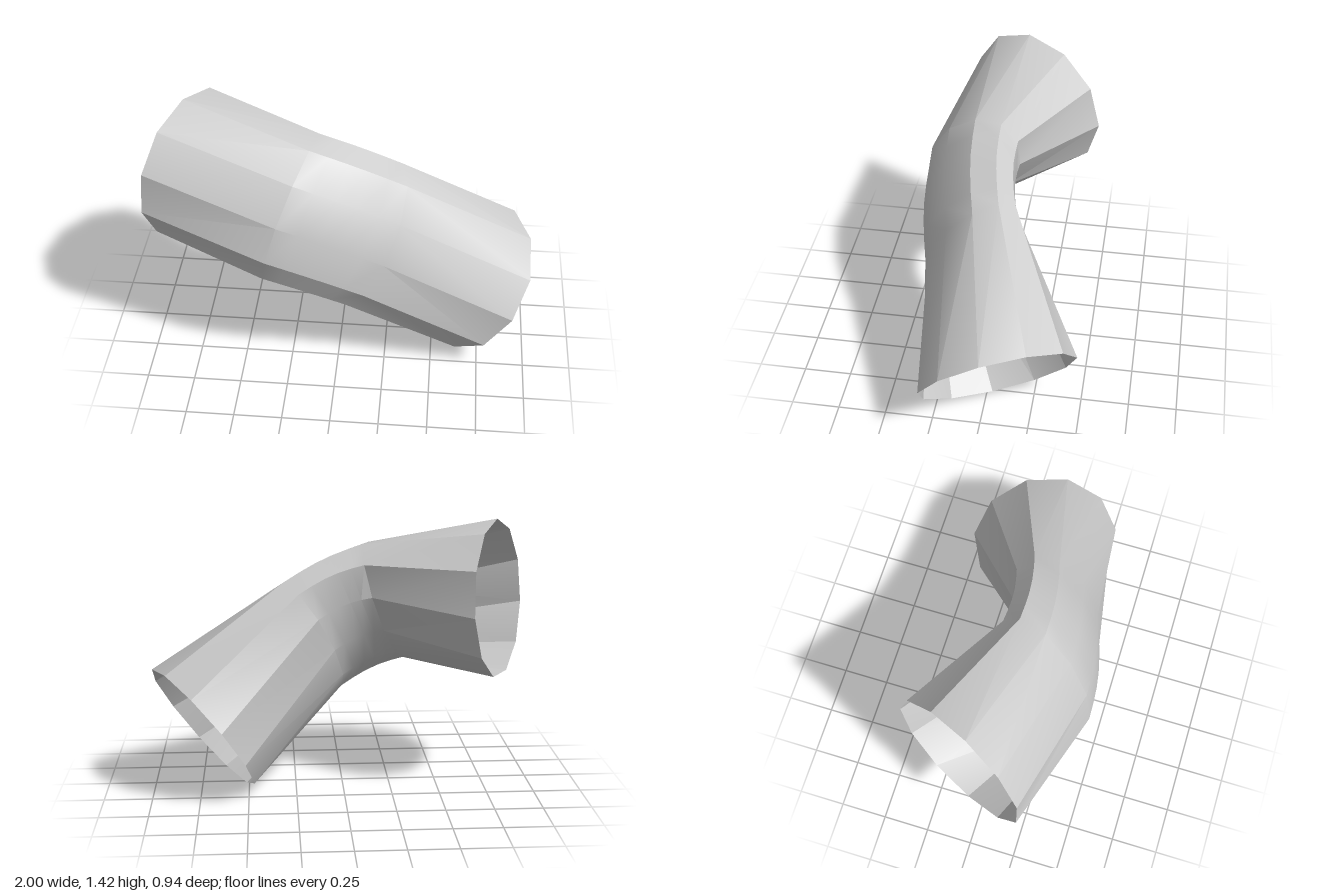
import * as THREE from 'three';
import { toCreasedNormals } from 'three/addons/utils/BufferGeometryUtils.js';

const SIDES = 11;
const BEND_STEPS = 5;
const vec = (x, y, z) => new THREE.Vector3(x, y, z);

// An elliptical section: its centre and two half axes (u = up, w = outward)
const section = (c, u, w) => ({ c: vec(...c), u: vec(...u), w: vec(...w) });

const rightMouth = section([-0.815, 1.015, -0.08], [0.01, 0.41, 0.05], [-0.185, -0.03, 0.36]);
const bendStart = section([-0.24, 0.955, 0.19], [0.09, 0.325, -0.03], [-0.10, -0.115, 0.27]);
const bendEnd = section([0.16, 0.775, 0.14], [0.18, 0.272, -0.045], [0.006, -0.179, 0.246]);
const leftMouth = section([0.74, 0.34, -0.09], [0.26, 0.19, 0.25], [-0.074, -0.276, 0.298]);

// Section part way round the bend, bulging slightly outward
function bendSection(t) {
  const s = {};
  for (const key of ['c', 'u', 'w']) s[key] = bendStart[key].clone().lerp(bendEnd[key], t);
  s.c.addScaledVector(vec(0, 0.018, 0.018), Math.sin(Math.PI * t));
  return s;
}

// Open skin through consecutive sections
function loft(sections) {
  const positions = [];
  const indices = [];
  sections.forEach(({ c, u, w }, i) => {
    for (let k = 0; k < SIDES; k++) {
      const a = (k / SIDES) * Math.PI * 2;
      const p = c.clone().addScaledVector(u, Math.cos(a)).addScaledVector(w, Math.sin(a));
      positions.push(p.x, p.y, p.z);
      if (i === 0) continue;
      const next = (k + 1) % SIDES;
      const a0 = (i - 1) * SIDES + k;
      const b0 = (i - 1) * SIDES + next;
      const a1 = i * SIDES + k;
      const b1 = i * SIDES + next;
      indices.push(a0, b0, a1, b0, b1, a1);
    }
  });
  const geometry = new THREE.BufferGeometry();
  geometry.setAttribute('position', new THREE.Float32BufferAttribute(positions, 3));
  geometry.setIndex(indices);
  return toCreasedNormals(geometry, 0.4);
}

export function createModel() {
  const model = new THREE.Group();
  model.name = 'bentPipe';

  // Flared right mouth, pinched elbow, flared left mouth
  const sections = [rightMouth];
  for (let i = 0; i <= BEND_STEPS; i++) sections.push(bendSection(i / BEND_STEPS));
  sections.push(leftMouth);

  const material = new THREE.MeshStandardMaterial({ color: 0xcccccc, side: THREE.DoubleSide });
  const pipe = new THREE.Mesh(loft(sections), material);
  pipe.name = 'elbowPipe';
  model.add(pipe);
  return model;
}
